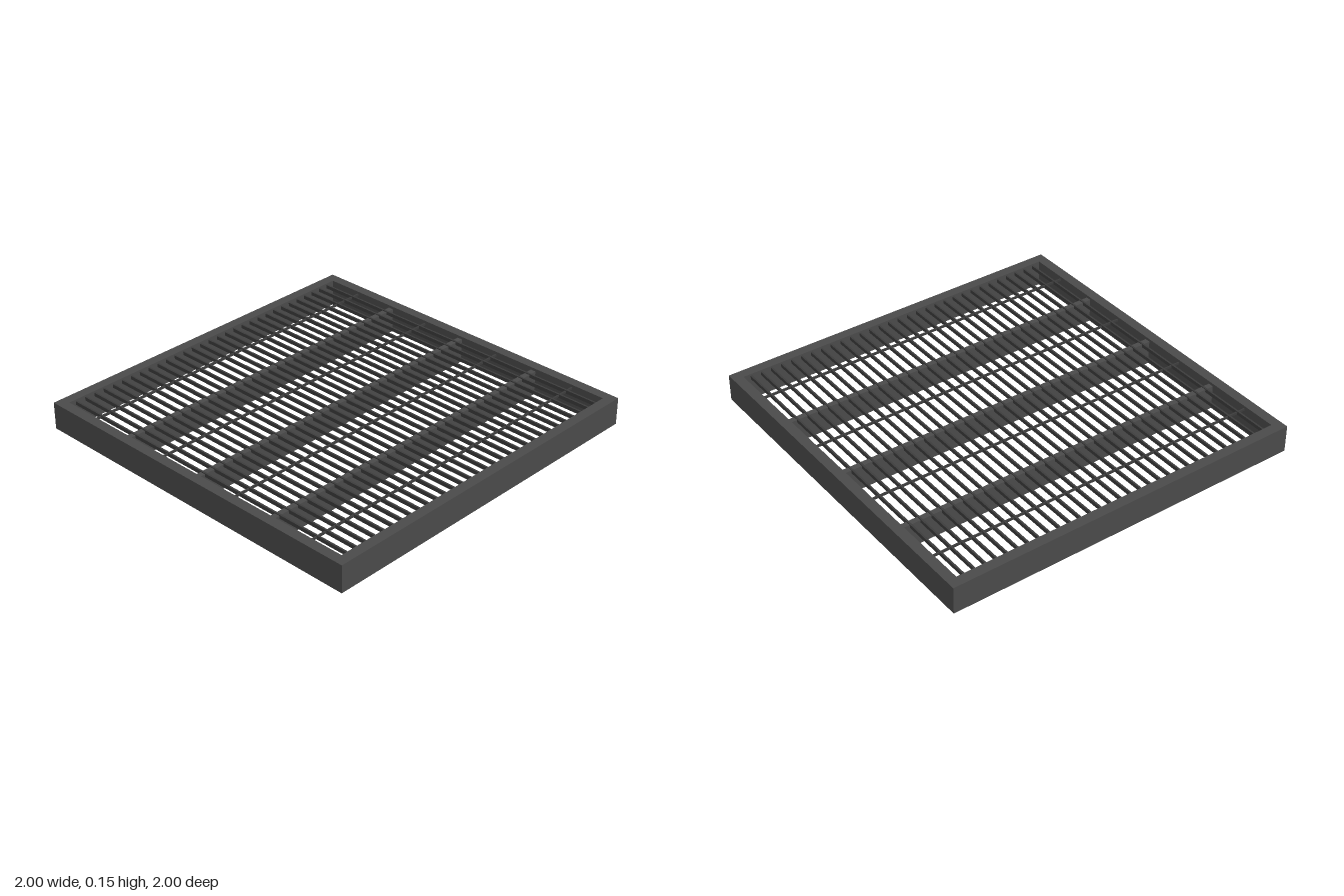
import * as THREE from 'three';

export function createModel() {
  const model = new THREE.Group();
  const frameSteel = new THREE.MeshStandardMaterial({ color: 0x4a4a4a });
  frameSteel.name = 'frame steel';
  const gratingSteel = new THREE.MeshStandardMaterial({ color: 0x3c3c3c });
  gratingSteel.name = 'grating steel';

  const HEIGHT = 0.15, RIM = 0.055, INNER = 1 - RIM;

  function box(parent, name, material, w, h, d, x, y, z) {
    const mesh = new THREE.Mesh(new THREE.BoxGeometry(w, h, d), material);
    mesh.name = name;
    mesh.position.set(x, y, z);
    parent.add(mesh);
  }

  function group(name) {
    const g = new THREE.Group();
    g.name = name;
    model.add(g);
    return g;
  }

  // Square outer frame with an open middle
  const outline = new THREE.Shape([[-1, -1], [1, -1], [1, 1], [-1, 1]].map(([x, y]) => new THREE.Vector2(x, y)));
  outline.holes.push(new THREE.Path([[-1, -1], [-1, 1], [1, 1], [1, -1]].map(([x, y]) => new THREE.Vector2(x * INNER, y * INNER))));
  const frameGeometry = new THREE.ExtrudeGeometry(outline, { depth: HEIGHT, bevelEnabled: false });
  frameGeometry.rotateX(-Math.PI / 2);
  const frame = new THREE.Mesh(frameGeometry, frameSteel);
  frame.name = 'outerFrame';
  model.add(frame);

  // Deep support beams running front to back
  const beams = group('supportBeams');
  for (const x of [-0.5, 0, 0.5]) {
    box(beams, 'supportBeam', frameSteel, 0.03, 0.135, 2 * INNER, x, 0.0675, 0);
  }

  // Closely spaced bearing bars running side to side
  const bars = group('gratingBars');
  for (let i = -15; i <= 15; i++) {
    box(bars, 'gratingBar', gratingSteel, 2 * INNER, 0.02, 0.01, 0, 0.13, i * 0.06);
  }

  // Thin cross rods between the beams
  const rods = group('crossRods');
  for (const x of [-0.75, -0.25, 0.25, 0.75]) {
    box(rods, 'crossRod', gratingSteel, 0.008, 0.012, 2 * INNER, x, 0.13, 0);
  }

  return model;
}
